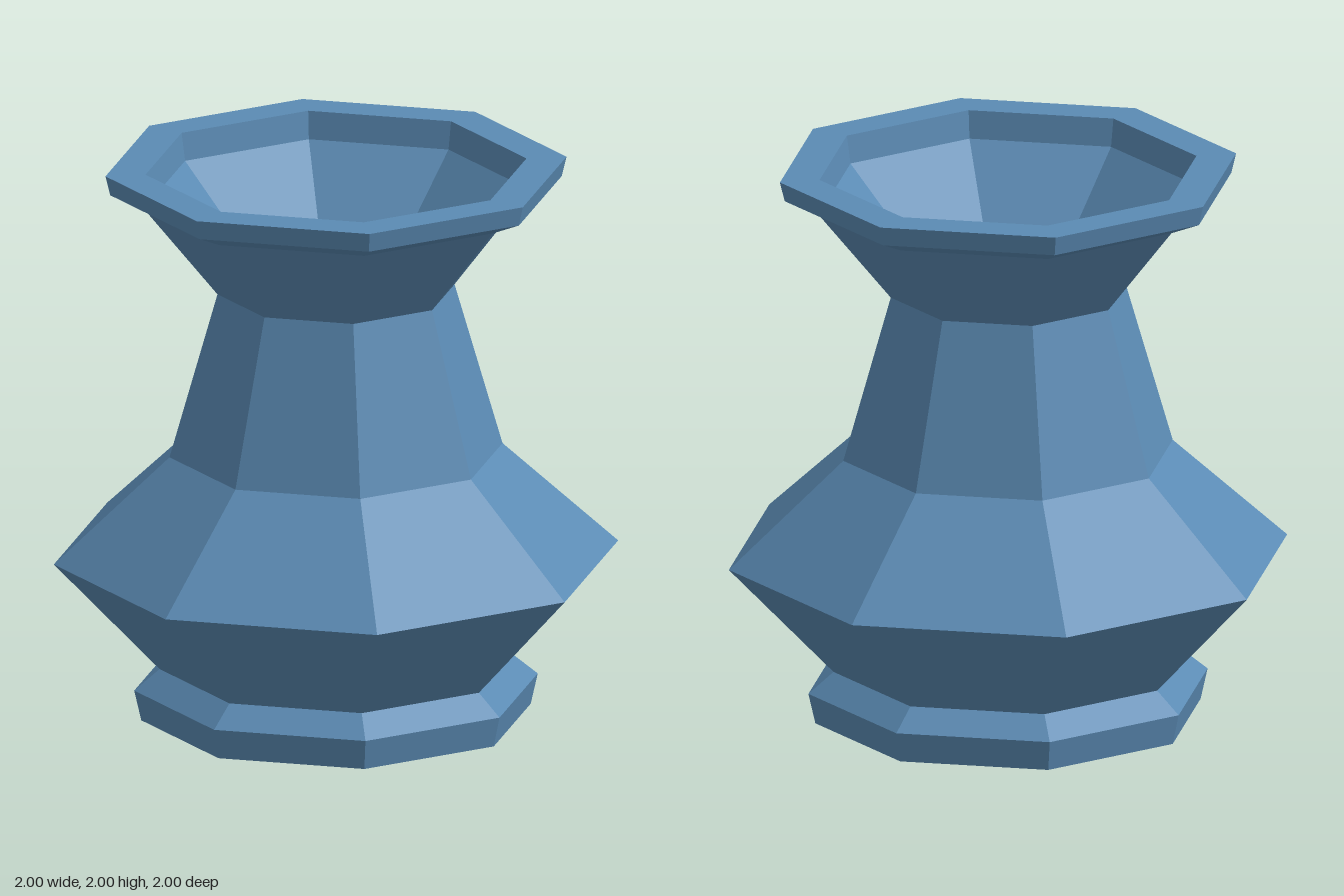
import * as THREE from 'three';

const material = new THREE.MeshStandardMaterial({ color: 0x5b8bb4, flatShading: true });

// Eight-sided turned section; profile points are [radius, height], running up the outside
function turned(name, profile) {
  const points = profile.map(([r, y]) => new THREE.Vector2(r, y));
  const mesh = new THREE.Mesh(new THREE.LatheGeometry(points, 8), material);
  mesh.name = name;
  return mesh;
}

export function createModel() {
  const vase = new THREE.Group();
  vase.name = 'vase';
  vase.add(
    // Closed base with a chamfered top edge
    turned('foot', [[0, 0], [0.69, 0], [0.715, 0.11], [0.625, 0.185]]),
    // Wide double-cone belly
    turned('belly', [[0.625, 0.185], [1, 0.585], [0.59, 0.96]]),
    // Tapering neck
    turned('neck', [[0.59, 0.96], [0.42, 1.55]]),
    // Flared mouth, collar and flat rim
    turned('mouth', [[0.42, 1.55], [0.685, 1.88], [0.8, 1.93], [0.817, 2], [0.675, 2]]),
    // Inner lip, sloping bowl and floor
    turned('bowl', [[0.675, 2], [0.66, 1.9], [0.31, 1.54], [0, 1.54]])
  );
  return vase;
}
